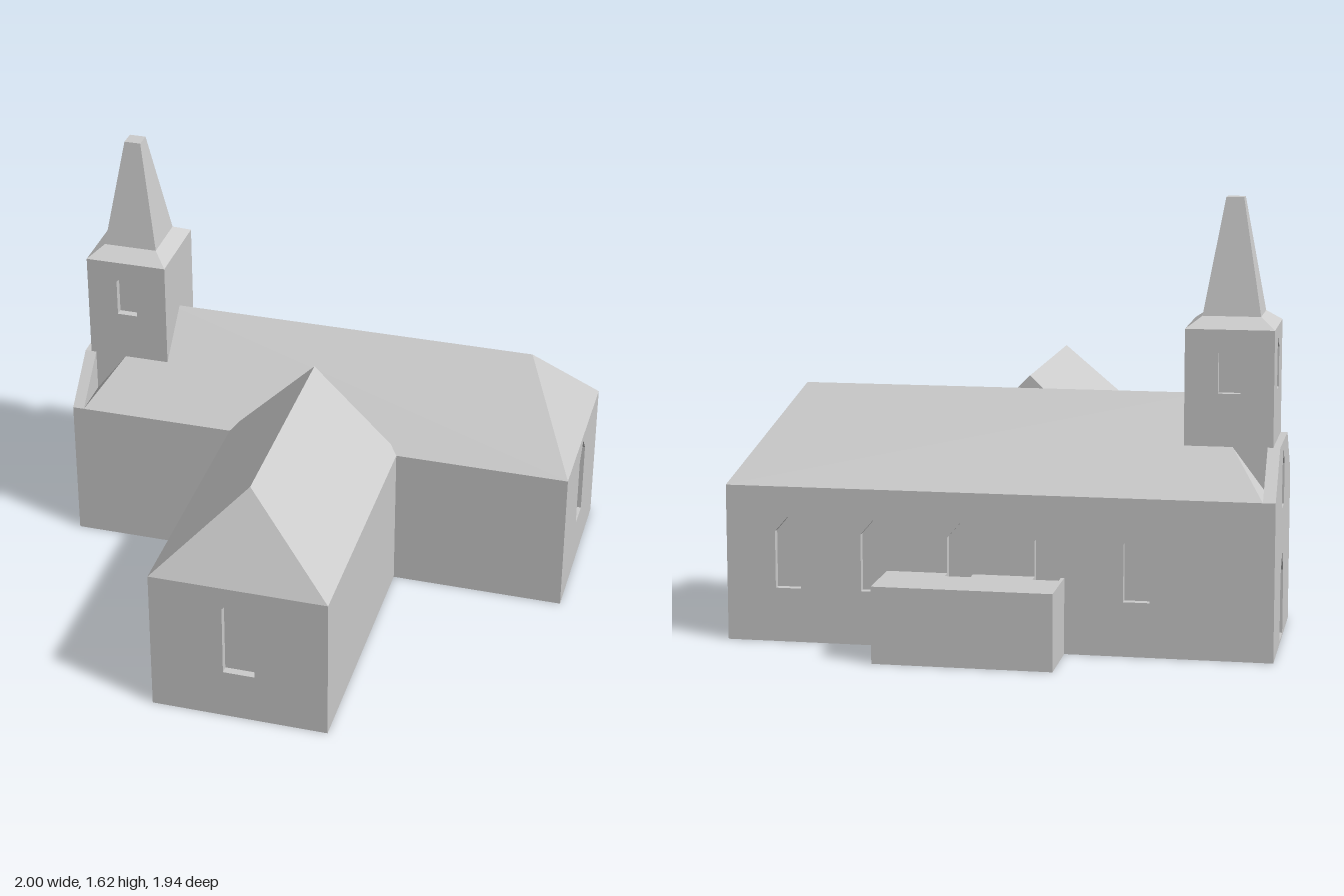
import * as THREE from 'three';
import { ConvexGeometry } from 'three/addons/geometries/ConvexGeometry.js';

const EAVES = 0.577, RIDGE = 0.91, NICHE = 0.03;

export function createModel() {
  const church = new THREE.Group();
  church.name = 'church';
  const stone = new THREE.MeshStandardMaterial({ color: 0xcccccc });
  stone.name = 'pale grey';

  function add(name, geometry, parent = church) {
    const mesh = new THREE.Mesh(geometry, stone);
    mesh.name = name;
    parent.add(mesh);
    return mesh;
  }

  // Box given by its limits
  function block(name, x0, x1, y0, y1, z0, z1, parent) {
    const g = new THREE.BoxGeometry(x1 - x0, y1 - y0, z1 - z0);
    g.translate((x0 + x1) / 2, (y0 + y1) / 2, (z0 + z1) / 2);
    return add(name, g, parent);
  }

  // Convex solid given by its corners
  function solid(name, corners, parent) {
    return add(name, new ConvexGeometry(corners.map(c => new THREE.Vector3(...c))), parent);
  }

  const polygon = pts => pts.map(p => new THREE.Vector2(...p));

  // Pointed opening: centre, width, sill, shoulder, peak
  const arch = (c, w, sill, shoulder, peak) => new THREE.Path(polygon([
    [c - w / 2, sill], [c - w / 2, shoulder], [c, peak], [c + w / 2, shoulder], [c + w / 2, sill],
  ]));

  // Wall with openings; its outer face is centred on (x, z) and turned by angle
  function wall(name, outline, openings, x, z, angle, parent, depth = NICHE) {
    const shape = new THREE.Shape(polygon(outline));
    shape.holes.push(...openings);
    const g = new THREE.ExtrudeGeometry(shape, { depth, bevelEnabled: false });
    g.translate(0, 0, -depth);
    const mesh = add(name, g, parent);
    mesh.position.set(x, 0, z);
    mesh.rotation.y = angle;
    return mesh;
  }
  const rect = (w, h) => [[-w / 2, 0], [w / 2, 0], [w / 2, h], [-w / 2, h]];

  // Nave
  const nave = new THREE.Group();
  nave.name = 'nave';
  church.add(nave);
  const back = -0.72, front = -0.04, mid = -0.38, west = -0.955;
  block('naveCore', west, 1 - NICHE, 0, EAVES, back + NICHE, front, nave);
  const cx = (west + 1) / 2;
  const naveWindows = [0.77, 0.45, 0.13, -0.19, -0.51];
  wall('naveBackWall', rect(1 - west, EAVES),
    naveWindows.map(x => arch(cx - x, 0.095, 0.2, 0.41, 0.465)), cx, back, Math.PI, nave);
  wall('naveEndWall', rect(front - back, EAVES),
    [arch(0, 0.115, 0.195, 0.485, 0.55)], 1, mid, Math.PI / 2, nave);
  solid('naveRoof', [
    [west, EAVES, back], [west, EAVES, front], [1, EAVES, back], [1, EAVES, front],
    [-0.705, RIDGE, mid], [0.78, RIDGE, mid],
  ], nave);

  // Gable wall with the door, cut off level where it meets the tower
  wall('entranceGable',
    [[-0.34, 0], [0.34, 0], [0.34, EAVES], [0.17, 0.745], [-0.17, 0.745], [-0.34, EAVES]],
    [arch(0, 0.13, 0.01, 0.25, 0.33), arch(0, 0.1, 0.5, 0.65, 0.71)],
    -1, mid, -Math.PI / 2, nave, 0.045);

  // Front wing
  const wing = new THREE.Group();
  wing.name = 'frontWing';
  church.add(wing);
  const wl = -0.347, wr = 0.327, wc = -0.01, wf = 0.97, wb = -0.07;
  block('wingCore', wl, wr, 0, EAVES, wb, wf - NICHE, wing);
  wall('wingEndWall', rect(wr - wl, EAVES),
    [arch(0, 0.12, 0.2, 0.485, 0.55)], wc, wf, 0, wing);
  solid('wingRoof', [
    [wl, EAVES, wb], [wr, EAVES, wb], [wl, EAVES, wf], [wr, EAVES, wf],
    [wc, RIDGE, wb], [wc, RIDGE, 0.79],
  ], wing);

  // Low annex; its top is notched in front of two nave windows
  const annex = new THREE.Group();
  annex.name = 'annex';
  church.add(annex);
  const ab = -0.972, notch = -0.767;
  block('annexBase', -0.25, 0.4, 0, 0.2, ab, back, annex);
  block('annexTop', -0.25, 0.4, 0.2, 0.28, ab, notch, annex);
  for (const [x0, x1] of [[-0.25, -0.2375], [-0.1425, 0.0825], [0.1775, 0.4]])
    block('annexTopEdge', x0, x1, 0.2, 0.28, notch, back, annex);

  // Tower
  const tower = new THREE.Group();
  tower.name = 'tower';
  church.add(tower);
  const tx = -0.815, hx = 0.16, hz = 0.17, top = 1.165;
  block('towerCore', tx - hx + NICHE, tx + hx, 0, top, mid - hz + NICHE, mid + hz - NICHE, tower);
  const belfry = () => [arch(0, 0.08, 0.935, 1.08, 1.12)];
  wall('towerFrontWall', rect(2 * hx, top), belfry(), tx, mid + hz, 0, tower);
  wall('towerBackWall', rect(2 * hx, top), belfry(), tx, mid - hz, Math.PI, tower);
  wall('towerSideWall', rect(2 * hz, top), belfry(), tx - hx, mid, -Math.PI / 2, tower);

  // Tower roof skirt and truncated spire
  const ring = (a, b, y) =>
    [[-1, -1], [1, -1], [1, 1], [-1, 1]].map(([sx, sz]) => [tx + sx * a, y, mid + sz * b]);
  solid('towerSkirt', [...ring(hx, hz, top), ...ring(0.105, 0.105, 1.205)], tower);
  solid('spire', [...ring(0.105, 0.105, 1.205), ...ring(0.032, 0.032, 1.625)], tower);

  return church;
}
